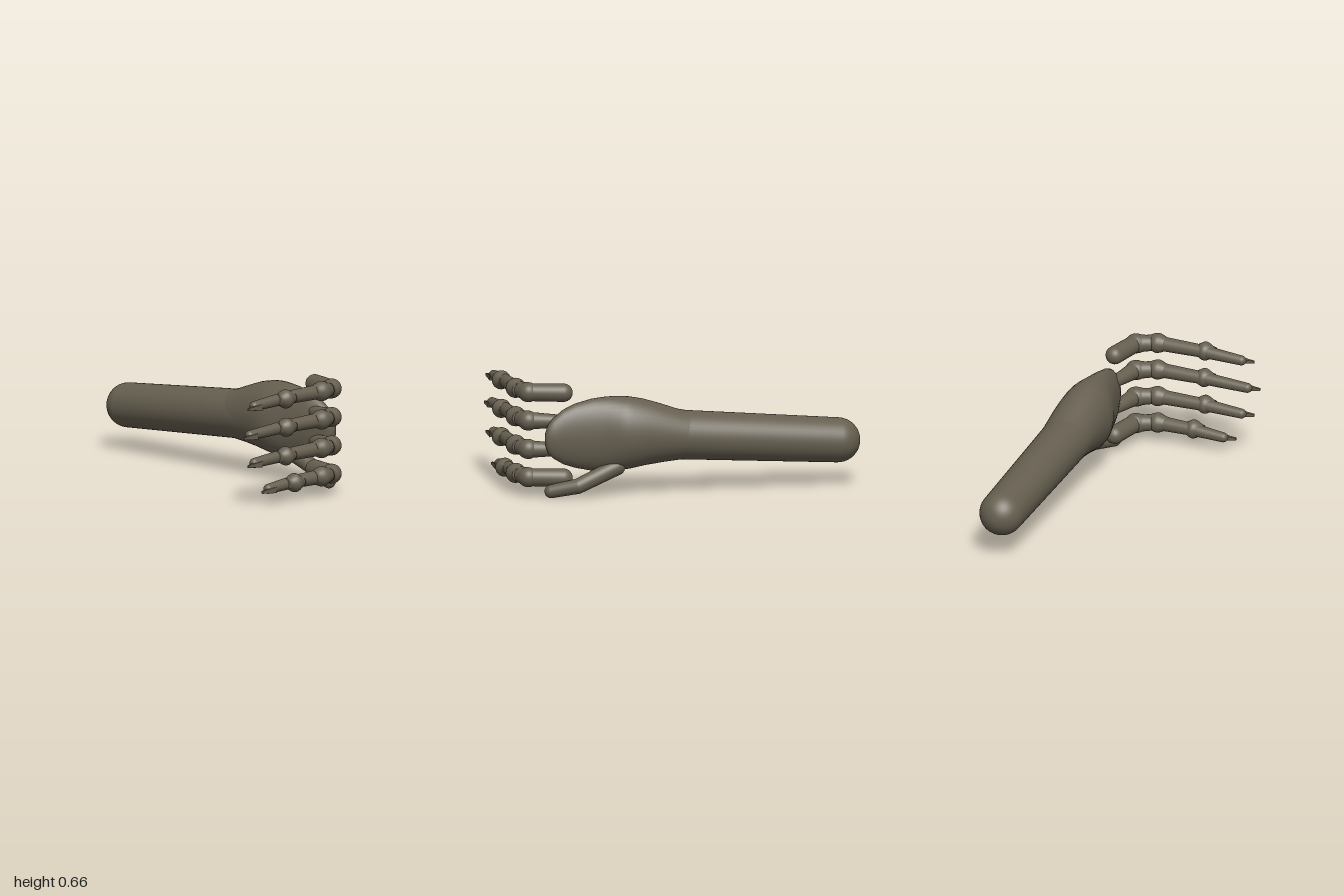
import * as THREE from 'three';

const skin = new THREE.MeshStandardMaterial({ color: 0x665f50 });
skin.name = 'grey brown skin';
const V = (x, y, z) => new THREE.Vector3(x, y, z);

function add(parent, name, geometry) {
  const m = new THREE.Mesh(geometry, skin);
  m.name = name;
  parent.add(m);
  return m;
}

// Tapered limb with round ends, from point a to point b
function limb(parent, name, a, b, ra, rb, sides = 28) {
  const len = a.distanceTo(b), pts = [], n = 10;
  for (let i = 0; i <= n; i++) {
    const t = (i / n) * Math.PI / 2;
    pts.push(new THREE.Vector2(Math.sin(t) * ra, -Math.cos(t) * ra));
  }
  for (let i = 0; i <= n; i++) {
    const t = (i / n) * Math.PI / 2;
    pts.push(new THREE.Vector2(Math.cos(t) * rb, len + Math.sin(t) * rb));
  }
  pts[0].x = pts[pts.length - 1].x = 0;
  const m = add(parent, name, new THREE.LatheGeometry(pts, sides));
  m.position.copy(a);
  m.quaternion.setFromUnitVectors(V(0, 1, 0), b.clone().sub(a).normalize());
}

// Joint along z that swells smoothly out of the bone, closed inside it
function joint(parent, name, p, bone, swell, half) {
  const pts = [new THREE.Vector2(0, -half)];
  for (let i = -8; i <= 8; i++) {
    const t = i / 8;
    pts.push(new THREE.Vector2(bone + (swell - bone) * Math.cos(t * Math.PI / 2) ** 2, t * half));
  }
  pts.push(new THREE.Vector2(0, half));
  const m = add(parent, name, new THREE.LatheGeometry(pts, 28));
  m.position.copy(p);
  m.rotation.x = Math.PI / 2;
}

// Wrist and palm lofted along x: [x, bottom y, top y, centre z, half depth]
function palmGeometry() {
  const rows = [
    [-0.04, 0.194, 0.458, -0.344, 0.13], [0.05, 0.19, 0.477, -0.341, 0.139],
    [0.15, 0.18, 0.513, -0.337, 0.143], [0.25, 0.167, 0.545, -0.331, 0.147],
    [0.33, 0.152, 0.561, -0.326, 0.149], [0.38, 0.146, 0.566, -0.323, 0.146],
    [0.43, 0.142, 0.567, -0.319, 0.132], [0.48, 0.141, 0.565, -0.314, 0.112],
    [0.55, 0.145, 0.558, -0.311, 0.092], [0.65, 0.168, 0.535, -0.312, 0.074],
    [0.72, 0.193, 0.505, -0.317, 0.06], [0.78, 0.23, 0.46, -0.322, 0.046],
    [0.81, 0.26, 0.425, -0.325, 0.034], [0.825, 0.30, 0.385, -0.326, 0.018],
    [0.829, 0.343, 0.343, -0.326, 0],
  ];
  const n = 40, pos = [], idx = [];
  rows.forEach(([x, y0, y1, zc, hz], r) => {
    for (let i = 0; i < n; i++) {
      const t = (i / n) * Math.PI * 2;
      pos.push(x, (y0 + y1) / 2 + Math.cos(t) * (y1 - y0) / 2, zc + Math.sin(t) * hz);
      if (r) {
        const a = (r - 1) * n + i, b = (r - 1) * n + (i + 1) % n;
        idx.push(a, b, a + n, b, b + n, a + n);
      }
    }
  });
  const g = new THREE.BufferGeometry();
  g.setAttribute('position', new THREE.Float32BufferAttribute(pos, 3));
  g.setIndex(idx);
  g.computeVertexNormals();
  return g;
}

// Pointed claw: a four-sided wedge along z, narrowing to a thin edge
function clawGeometry(length) {
  const g = new THREE.BoxGeometry(0.036, 0.034, length).toNonIndexed();
  const p = g.attributes.position;
  for (let i = 0; i < p.count; i++) {
    if (p.getZ(i) > 0) p.setXYZ(i, p.getX(i) * 0.3 + 0.006, p.getY(i) * 0.4 - 0.002, p.getZ(i));
  }
  g.computeVertexNormals();
  return g;
}

// y height, z of the lower joint, z of the tip, radius at the palm
const FINGERS = [
  [0.6, 0.17, 0.465, 0.052],
  [0.437, 0.165, 0.5, 0.034],
  [0.274, 0.17, 0.465, 0.034],
  [0.112, 0.1, 0.355, 0.052],
];

export function createModel() {
  const group = new THREE.Group();
  group.name = 'arm';

  limb(group, 'forearm', V(-0.873, 0.256, -0.373), V(0.22, 0.345, -0.333), 0.127, 0.142, 48);
  add(group, 'palm', palmGeometry());

  // Thumb
  const thumb = new THREE.Group();
  thumb.name = 'thumb';
  group.add(thumb);
  const bend = V(0.65, 0.074, -0.378);
  limb(thumb, 'thumbBase', V(0.42, 0.17, -0.365), bend, 0.048, 0.043);
  limb(thumb, 'thumbTip', bend, V(0.791, 0.041, -0.32), 0.043, 0.038);

  // Fingers bent forwards at the knuckles
  FINGERS.forEach(([y, zLower, zTip, r], i) => {
    const f = new THREE.Group();
    f.name = 'finger' + (i + 1);
    group.add(f);
    const knuckle = V(0.9, y, -0.235), upper = V(0.94, y + 0.005, -0.115);
    const lower = V(0.929, y - 0.001, zLower), tip = V(0.921, y - 0.018, zTip - 0.07);
    limb(f, 'proximalBone', V(0.71, y - 0.003, -0.287), knuckle, r, 0.05);
    limb(f, 'knuckle', knuckle, V(0.903, y, -0.225), 0.056, 0.056);
    limb(f, 'shortBone', knuckle, upper, 0.052, 0.042);
    joint(f, 'upperJoint', upper, 0.038, 0.057, 0.065);
    limb(f, 'middleBone', upper, lower, 0.042, 0.036);
    joint(f, 'lowerJoint', V(0.942, y - 0.003, zLower), 0.031, 0.054, 0.06);
    limb(f, 'fingertip', lower, tip, 0.036, 0.028);
    add(f, 'claw', clawGeometry(0.105)).position.set(0.937, y - 0.025, zTip - 0.0525);
  });
  return group;
}
